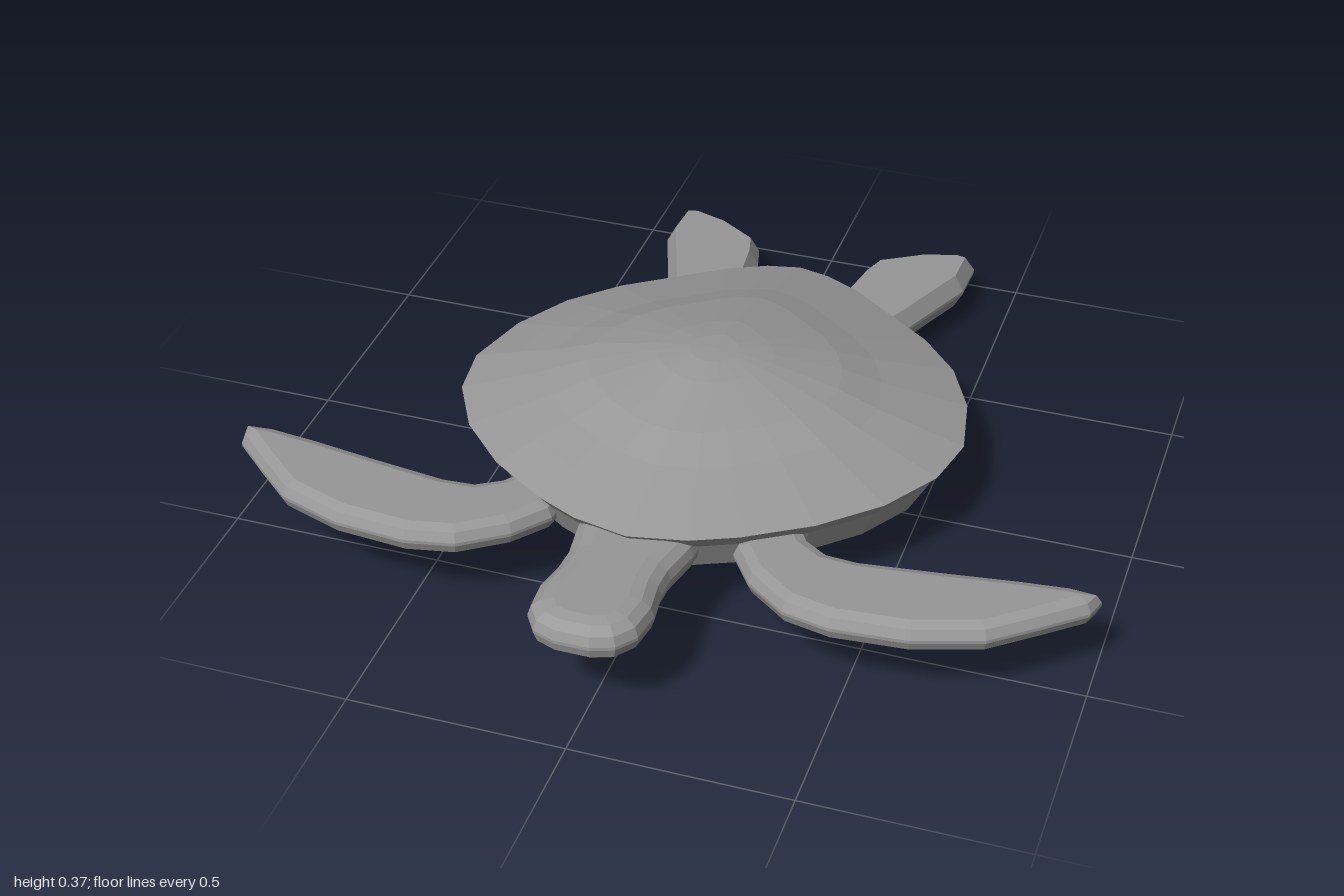
import * as THREE from 'three';

const material = new THREE.MeshStandardMaterial({ color: 0x9a9a9a, flatShading: true });
const TILT = 0.085; // whole animal rises gently toward the head

// Shell plan as [x, z], rear to front on the left half, then mirrored to a loop
const half = [[0, -0.7], [0.08, -0.68], [0.17, -0.63], [0.28, -0.54], [0.39, -0.45], [0.49, -0.33],
  [0.56, -0.18], [0.595, 0], [0.57, 0.15], [0.49, 0.3], [0.37, 0.43], [0.23, 0.53], [0.13, 0.58], [0, 0.61]];
const plan = [...half, ...half.slice(1, -1).reverse().map(([x, z]) => [-x, z])];

function finish(geometry, name) {
  const p = geometry.attributes.position;
  for (let i = 0; i < p.count; i++) p.setY(i, p.getY(i) + TILT * p.getZ(i));
  geometry.computeVertexNormals();
  const mesh = new THREE.Mesh(geometry, material);
  mesh.name = name;
  return mesh;
}

// Scale the plan by each profile entry [scale, height], top to bottom, and skin the rings
function ringLoft(profile, name) {
  const n = plan.length, positions = [], index = [];
  for (const [s, y] of profile) for (const [x, z] of plan) positions.push(x * s, y, z * s);
  for (let r = 0; r < profile.length - 1; r++) {
    for (let j = 0; j < n; j++) {
      const a = r * n + j, b = r * n + (j + 1) % n, c = a + n, d = b + n;
      if (profile[r][0] > 0) index.push(a, b, c);
      if (profile[r + 1][0] > 0) index.push(b, d, c);
    }
  }
  const g = new THREE.BufferGeometry();
  g.setAttribute('position', new THREE.Float32BufferAttribute(positions, 3));
  g.setIndex(index);
  return finish(g, name);
}

// Horizontal slab whose edges are bevelled to a ridge at mid height
function slab(outline, name, { side = 1, base, bevel, thickness, segments }) {
  const shape = new THREE.Shape(outline.map(([x, z]) => new THREE.Vector2(x * side, -z)));
  const g = new THREE.ExtrudeGeometry(shape, {
    depth: 0.008, bevelEnabled: true, bevelSegments: segments,
    bevelSize: bevel, bevelOffset: -bevel, bevelThickness: thickness,
  });
  g.rotateX(-Math.PI / 2);
  g.translate(0, base, 0);
  return finish(g, name);
}

export function createModel() {
  const turtle = new THREE.Group();
  turtle.name = 'turtle';

  // Domed shell whose rim slopes back in to the body
  turtle.add(ringLoft([[0, 0.368], [0.1, 0.366], [0.23, 0.355], [0.5, 0.317], [0.66, 0.282], [0.82, 0.254],
    [1, 0.222], [0.94, 0.18]], 'shell'));

  // Side wall and shallow rounded belly plate
  turtle.add(ringLoft([[0.94, 0.18], [0.88, 0.105], [0.55, 0.063], [0.32, 0.03], [0.12, 0.009], [0, 0.005]], 'belly'));

  // Neck and head with a rounded crown
  const headSide = [[0.14, 0.42], [0.135, 0.56], [0.118, 0.66], [0.118, 0.72], [0.13, 0.8],
    [0.122, 0.88], [0.09, 0.93], [0.04, 0.95]];
  turtle.add(slab([...headSide, ...[...headSide].reverse().map(([x, z]) => [-x, z])], 'head',
    { base: 0.158, bevel: 0.055, thickness: 0.045, segments: 3 }));

  // Swept front flippers and broad rear flippers
  const front = [[0.2, 0.4], [0.33, 0.38], [0.36, 0.43], [0.41, 0.465], [0.48, 0.47], [0.66, 0.445],
    [0.82, 0.42], [0.93, 0.407], [1, 0.415], [0.985, 0.465], [0.9, 0.545], [0.8, 0.635], [0.65, 0.69],
    [0.48, 0.705], [0.37, 0.68], [0.27, 0.6], [0.21, 0.51]];
  const rear = [[0.1, -0.46], [0.12, -0.66], [0.135, -0.775], [0.155, -0.85], [0.26, -0.925],
    [0.35, -0.957], [0.397, -0.945], [0.397, -0.82], [0.295, -0.53], [0.27, -0.44]];
  for (const [side, label] of [[1, 'left'], [-1, 'right']]) {
    turtle.add(slab(front, label + 'FrontFlipper', { side, base: 0.15, bevel: 0.034, thickness: 0.032, segments: 2 }));
    turtle.add(slab(rear, label + 'RearFlipper', { side, base: 0.158, bevel: 0.022, thickness: 0.042, segments: 1 }));
  }
  return turtle;
}
